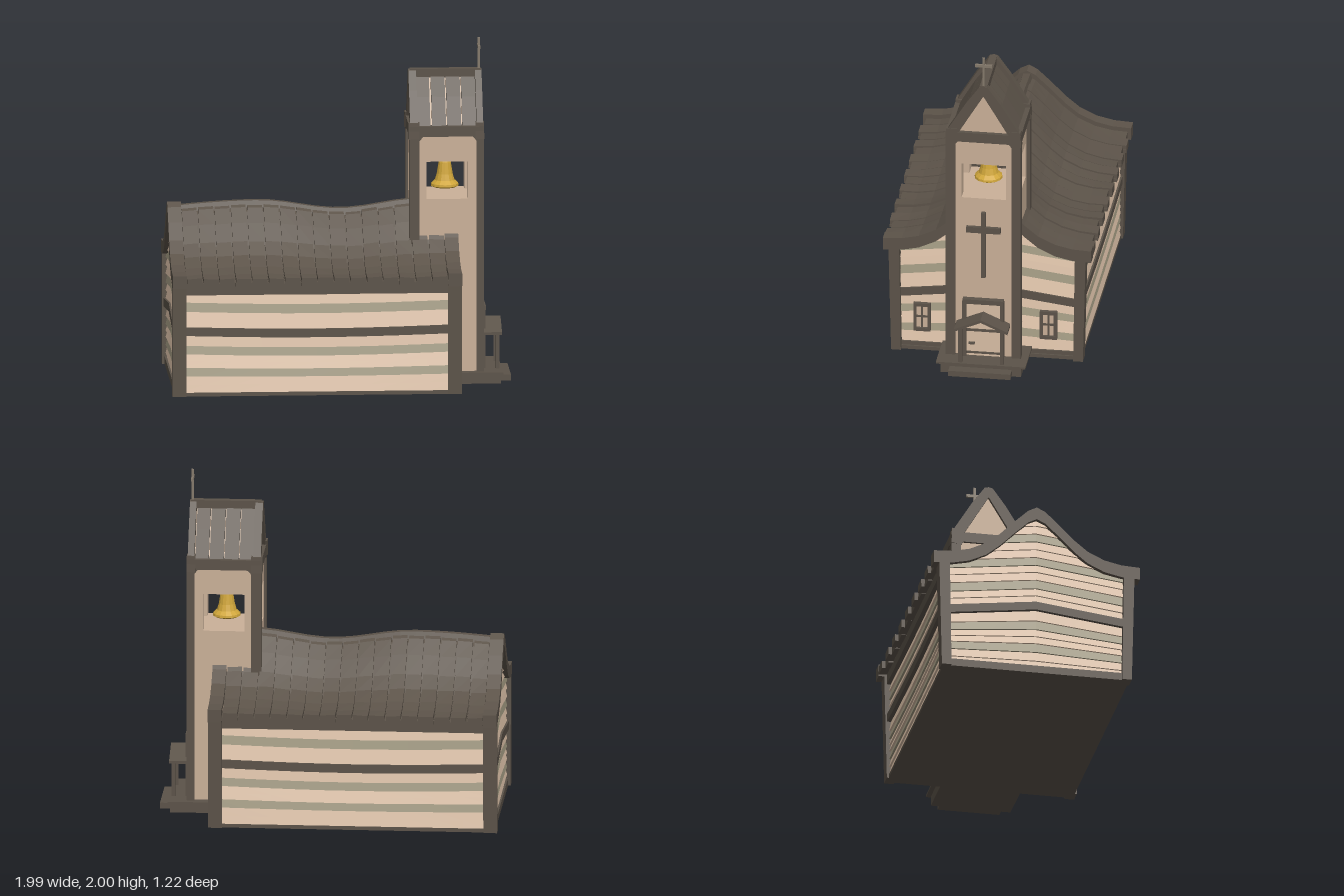
import * as THREE from 'three';

const paint = (name, color, both) => {
  const m = new THREE.MeshStandardMaterial({ color, flatShading: true });
  m.name = name;
  if (both) m.side = THREE.DoubleSide;
  return m;
};

export function createModel() {
  const root = new THREE.Group();
  root.name = 'chapel';
  const wood = paint('dark wood', 0x5c5349);
  const plaster = paint('plaster', 0xcbb199);
  const cream = paint('cream board', 0xdabfa6);
  const sage = paint('sage board', 0x9f977f);
  const gold = paint('bell gold', 0xd0a63a, true);
  const iron = paint('weathered metal', 0x857a6c);

  let seed = 7;
  const rnd = () => (seed = (seed * 16807) % 2147483647) / 2147483647 - 0.5;
  const add = (name, geo, mat) => {
    const mesh = new THREE.Mesh(geo, mat);
    mesh.name = name;
    root.add(mesh);
    return mesh;
  };
  const box = (name, mat, [x0, x1], [y0, y1], [z0, z1]) => {
    const m = add(name, new THREE.BoxGeometry(x1 - x0, y1 - y0, z1 - z0), mat);
    m.position.set((x0 + x1) / 2, (y0 + y1) / 2, (z0 + z1) / 2);
    return m;
  };
  // Closed solid through four-cornered cross-sections, turned to face outwards
  const loft = (name, mat, sections) => {
    const tris = [];
    const quad = (a, b, c, d) => tris.push([a, b, c], [a, c, d]);
    for (let i = 0; i + 1 < sections.length; i++) {
      const s = sections[i], t = sections[i + 1];
      for (let k = 0; k < 4; k++) quad(s[k], s[(k + 1) % 4], t[(k + 1) % 4], t[k]);
    }
    const e = sections[sections.length - 1], f = sections[0];
    quad(f[3], f[2], f[1], f[0]);
    quad(e[0], e[1], e[2], e[3]);
    const o = new THREE.Vector3(...f[0]);
    let vol = 0;
    for (const t of tris) {
      const [a, b, c] = t.map(p => new THREE.Vector3(...p).sub(o));
      vol += a.dot(b.cross(c));
    }
    if (vol < 0) tris.forEach(t => t.reverse());
    const geo = new THREE.BufferGeometry();
    geo.setAttribute('position', new THREE.Float32BufferAttribute(tris.flat(2), 3));
    geo.computeVertexNormals();
    return add(name, geo, mat);
  };
  const range = (a, b, n) => Array.from({ length: n + 1 }, (_, i) => a + (b - a) * i / n);

  // Swept roof profile: distance from the ridge, height of the gable trim
  const profile = [[0, 1.05], [0.05, 1.025], [0.13, 0.95], [0.22, 0.86], [0.3, 0.795],
    [0.4, 0.748], [0.5, 0.726], [0.61, 0.72]];
  const roofY = z => {
    const a = Math.abs(z);
    for (let i = 1; i < profile.length; i++) {
      const [z0, y0] = profile[i - 1], [z1, y1] = profile[i];
      if (a <= z1) return y0 + (y1 - y0) * (a - z0) / (z1 - z0);
    }
    return 0.72;
  };
  const sway = x => 0.026 * Math.cos(2 * Math.PI * (x + 0.47) / (x < -0.47 ? 1.9 : 0.94));

  // Core and floor
  box('floor', wood, [-0.98, 0.66], [0, 0.022], [-0.55, 0.55]);
  box('wallCore', wood, [-0.95, 0.62], [0.01, 0.64], [-0.52, 0.52]);

  // Siding rows: bottom, top, material
  const ys = [0.02, 0.07, 0.12, 0.17, 0.21, 0.25, 0.3, 0.36, 0.41, 0.455, 0.5, 0.555, 0.605,
    0.65, 0.7, 0.75, 0.8, 0.85, 0.9, 0.95, 1.0];
  const sageRows = [2, 5, 10, 13, 16, 19];
  for (let i = 0; i + 1 < ys.length; i++) {
    const beam = i === 7;
    const mat = beam ? wood : sageRows.includes(i) ? sage : cream;
    const label = beam ? 'wallBeam' : 'wallBoard';
    const lip = beam ? 0.025 : 0.014, top = beam ? 0.025 : 0.002;
    const y0 = ys[i], y1 = ys[i + 1];
    if (i < 12) for (const s of [-1, 1]) {
      const sag = (x, y) => y - 0.016 * Math.sin(Math.PI * (x + 0.96) / 1.6) * Math.min(1, y / 0.25);
      loft(label, mat, range(-0.96, 0.64, 10).map(x => [
        [x, sag(x, y0), s * 0.51], [x, sag(x, y0), s * (0.535 + lip)],
        [x, sag(x, y1), s * (0.535 + top)], [x, sag(x, y1), s * 0.51]]));
    }
    // Gable boards bow upwards and stop under the roof
    for (const [x, s] of [[0.63, 1], [-0.965, -1]]) {
      const bow = (z, y) => Math.min(roofY(z) - 0.03,
        y + (-0.02 + 0.062 * (1 - Math.abs(z) / 0.5)) * Math.min(1, y / 0.35));
      const zs = range(-0.53, 0.53, 20).filter(z => bow(z, y0) < roofY(z) - 0.031);
      if (zs.length > 1) loft(label, mat, zs.map(z => [
        [x - s * 0.03, bow(z, y0), z], [x + s * lip, bow(z, y0), z],
        [x + s * top, bow(z, y1), z], [x - s * 0.03, bow(z, y1), z]]));
    }
  }
  for (const s of [-1, 1]) {
    box('eavesBeam', wood, [-0.96, 0.64], [0.598, 0.66], s > 0 ? [0.51, 0.562] : [-0.562, -0.51]);
    for (const x of [-1, 0.6]) loft('cornerPost', wood, [[0, 0.505, 0.562], [0.68, 0.515, 0.578]].map(
      ([y, a, b]) => [[x, y, s * a], [x + 0.08, y, s * a], [x + 0.08, y, s * b], [x, y, s * b]]));
  }
  for (const x of [-0.985, 0.61]) box('gableSill', wood, [x, x + 0.04], [0, 0.045], [-0.52, 0.52]);

  // Roof: gable trims, underlay, loose planks and ridge
  for (const s of [-1, 1]) {
    for (const x of [-1, 0.6]) {
      loft('gableTrim', wood, profile.map(([z, y]) => [[x, y, s * z], [x + 0.08, y, s * z],
        [x + 0.08, y - 0.075, s * z], [x, y - 0.075, s * z]]));
    }
    const count = 16, w = 1.52 / count;
    for (let i = 0; i < count; i++) {
      const a = -0.92 + i * w, b = a + w, end = i % 2 ? 0.61 : 0.59;
      const lift = 0.004 * (i % 2) + 0.006 * rnd(), twist = 0.008 * rnd();
      const plank = (name, x0, x1, drop, thick) => loft(name, wood, profile.map(([z, y]) => {
        const k = 1 - z / 0.61, zz = s * Math.min(z, end);
        const h = x => y - drop - 0.008 * k + sway(x) * k;
        return [[x0, h(x0) + twist * (1 - k), zz], [x1, h(x1) - twist * (1 - k), zz],
          [x1, h(x1) - thick, zz], [x0, h(x0) - thick, zz]];
      }));
      plank('roofUnderlay', a, b, 0.045, 0.02);
      plank('roofPlank', a + 0.004, b - 0.005 + 0.004 * rnd(), 0.022 - lift, 0.045);
    }
  }
  loft('ridgeBeam', wood, range(-0.94, 0.5, 16).map(x => {
    const y = 1.03 + sway(x);
    return [[x, y - 0.04, -0.035], [x, y, -0.02], [x, y, 0.02], [x, y - 0.04, 0.035]];
  }));

  // Tower: solid shaft, open belfry on four piers, solid head
  const tx = [0.41, 0.81], tz = [-0.2, 0.2];
  box('towerShaft', plaster, tx, [0.01, 1.085], tz);
  box('towerHead', plaster, tx, [1.305, 1.46], tz);
  for (const x of [[0.41, 0.495], [0.735, 0.81]]) for (const z of [[-0.2, -0.13], [0.13, 0.2]])
    box('belfryPier', plaster, x, [1.085, 1.305], z);
  for (const s of [-1, 1]) {
    for (const [a, b] of [[0.395, 0.455], [0.785, 0.83]]) {
      box('towerPost', wood, [a, b], [0, 1.47], s > 0 ? [0.165, 0.22] : [-0.22, -0.165]);
      loft('towerEave', wood, [a - 0.005, b].map(x => [[x, 1.44, s * 0.19], [x, 1.44, s * 0.222],
        [x, 1.535, s * 0.218], [x, 1.535, s * 0.15]]));
    }
    box('towerPlate', wood, [0.395, 0.83], [1.455, 1.515], s > 0 ? [0.165, 0.22] : [-0.22, -0.165]);
    // Corner braces under the plates
    for (const [x, d] of [[0.455, 1], [0.785, -1]]) loft('cornerBrace', wood, [0.19, 0.217].map(z => [
      [x, 1.46, s * z], [x + d * 0.025, 1.46, s * z], [x, 1.43, s * z], [x, 1.445, s * z]]));
    for (const [a, b] of [[0.395, 0.42], [0.8, 0.828]]) loft('cornerBrace', wood, [a, b].map(x => [
      [x, 1.46, s * 0.168], [x, 1.46, s * 0.145], [x, 1.43, s * 0.168], [x, 1.445, s * 0.168]]));
    // Tower roof rafters and planks
    for (const [a, b] of [[0.4, 0.445], [0.787, 0.825]]) loft('towerRafter', wood,
      [[0.22, 1.513, 0.145, 1.513], [0.1, 1.708, 0.073, 1.634], [0.025, 1.812, 0, 1.755], [0, 1.82, 0, 1.75]].map(
        ([zo, yo, zi, yi]) => [[a, yo, s * zo], [b, yo, s * zo], [b, yi, s * zi], [a, yi, s * zi]]));
    for (let i = 0; i < 4; i++) {
      const a = 0.442 + i * 0.0875, b = a + 0.08 + 0.006 * rnd(), lean = 0.006 * rnd();
      loft('towerRoofPlank', wood, [[0.195, 1.51], [0.1, 1.67], [0.01, 1.79]].map(([z, y]) => [
        [a, y, s * z], [b, y + lean, s * z], [b, y - 0.03, s * (z - 0.01)], [a, y - 0.03, s * (z - 0.01)]]));
    }
  }
  for (const x of [[0.395, 0.44], [0.787, 0.83]]) box('towerPlate', wood, x, [1.455, 1.515], [-0.21, 0.21]);
  const gable = new THREE.Shape([[-0.17, 1.5], [0.17, 1.5], [0, 1.765]].map(p => new THREE.Vector2(...p)));
  const core = add('towerGable', new THREE.ExtrudeGeometry(gable, { depth: 0.385, bevelEnabled: false }), plaster);
  core.rotation.y = Math.PI / 2;
  core.position.x = 0.42;
  box('towerRidge', wood, [0.41, 0.82], [1.77, 1.82], [-0.022, 0.022]);

  // Spire cross and wall cross
  box('spireShaft', iron, [0.804, 0.818], [1.8, 2], [-0.007, 0.007]);
  box('spireArm', iron, [0.804, 0.818], [1.939, 1.956], [-0.05, 0.05]);
  box('wallCrossShaft', wood, [0.8, 0.832], [0.58, 1], [-0.013, 0.013]);
  box('wallCrossArm', wood, [0.8, 0.831], [0.868, 0.905], [-0.1, 0.1]);

  // Bell with hanger and clapper
  const bellProfile = [[0.068, 1.122], [0.082, 1.13], [0.08, 1.143], [0.058, 1.163], [0.047, 1.2],
    [0.036, 1.268], [0.028, 1.285], [0, 1.287]].map(p => new THREE.Vector2(...p));
  add('bell', new THREE.LatheGeometry(bellProfile, 14), gold).position.x = 0.613;
  const hanger = add('bellHanger', new THREE.CylinderGeometry(0.01, 0.01, 0.04, 8), gold);
  hanger.position.set(0.613, 1.295, 0);
  const clapper = add('bellClapper', new THREE.SphereGeometry(0.018, 8, 6), gold);
  clapper.position.set(0.613, 1.13, 0);

  // Porch platform and step
  box('porchBase', wood, [0.64, 0.925], [0, 0.058], [-0.235, 0.235]);
  box('porchDeck', wood, [0.66, 0.938], [0.058, 0.07], [-0.262, 0.262]);
  box('porchStep', wood, [0.9, 0.988], [0.008, 0.042], [-0.182, 0.182]);

  // Door with frame, rail and handle
  box('doorPanel', cream, [0.8, 0.822], [0.07, 0.42], [-0.1, 0.1]);
  box('doorLintel', wood, [0.8, 0.845], [0.412, 0.44], [-0.12, 0.12]);
  box('doorRail', wood, [0.81, 0.828], [0.228, 0.243], [-0.1, 0.1]);
  box('doorKickRail', wood, [0.81, 0.828], [0.085, 0.097], [-0.1, 0.1]);
  box('doorHandle', wood, [0.81, 0.838], [0.147, 0.158], [0.05, 0.085]);
  for (const s of [-1, 1]) {
    box('doorJamb', wood, [0.8, 0.843], [0.07, 0.43], [s * 0.11 - 0.011, s * 0.11 + 0.011]);
    // Porch canopy
    box('porchPost', wood, [0.903, 0.925], [0.07, 0.295], [s * 0.122 - 0.011, s * 0.122 + 0.011]);
    box('porchRail', wood, [0.82, 0.925], [0.28, 0.296], [s * 0.122 - 0.011, s * 0.122 + 0.011]);
    loft('porchRoof', wood, [[0.157, 0.288], [0, 0.357]].map(([z, y]) => [
      [0.82, y, s * z], [0.937, y, s * z], [0.937, y - 0.017, s * z], [0.82, y - 0.017, s * z]]));

    // Front windows
    const zc = s > 0 ? 0.384 : -0.357, x = 0.645;
    box('windowPane', plaster, [x - 0.01, x + 0.007], [0.135, 0.295], [zc - 0.04, zc + 0.04]);
    for (const d of [-0.041, 0.041])
      box('windowSide', wood, [x - 0.01, x + 0.02], [0.125, 0.302], [zc + d - 0.009, zc + d + 0.009]);
    for (const y of [0.134, 0.292])
      box('windowRail', wood, [x - 0.01, x + 0.022], [y - 0.01, y + 0.01], [zc - 0.049, zc + 0.049]);
    box('windowMullion', wood, [x - 0.01, x + 0.014], [0.135, 0.295], [zc - 0.005, zc + 0.005]);
    box('windowBar', wood, [x - 0.01, x + 0.014], [0.21, 0.221], [zc - 0.04, zc + 0.04]);
  }
  return root;
}
